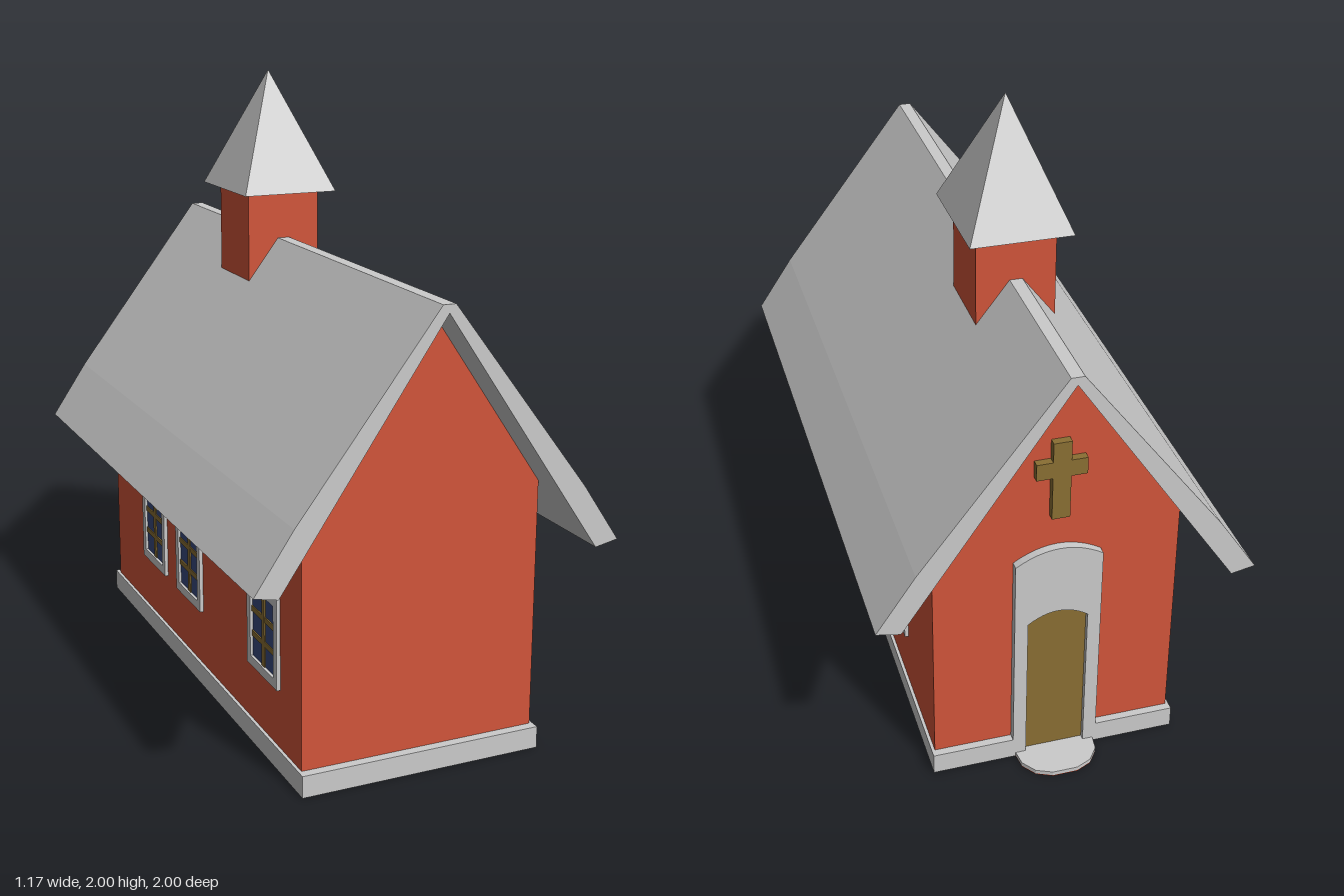
import * as THREE from 'three';

const paint = (color) => new THREE.MeshStandardMaterial({ color });
const grey = paint(0xcccccc);
const red = paint(0xd2553a);
const brown = paint(0x8a6f33);
const blue = paint(0x3a4b80);

const toShape = (pts) => new THREE.Shape(pts.map(([x, y]) => new THREE.Vector2(x, y)));
const mirrored = (half) => [...half, ...half.map(([x, y]) => [-x, y]).reverse()];

function add(parent, name, geometry, material) {
  const mesh = new THREE.Mesh(geometry, material);
  mesh.name = name;
  parent.add(mesh);
  return mesh;
}

// Upright slab between two z positions
function slab(shape, z0, z1) {
  const g = new THREE.ExtrudeGeometry(shape, { depth: z1 - z0, bevelEnabled: false });
  return g.translate(0, 0, z0);
}

// Flat-lying slab between two heights; the shape's y points to the back
function flatSlab(shape, y0, y1) {
  return slab(shape, y0, y1).rotateX(-Math.PI / 2);
}

function box(w, h, d, x, y, z) {
  return new THREE.BoxGeometry(w, h, d).translate(x, y, z);
}

// Outline of an opening with a shallow curved head
function archPoints(halfWidth, bottom, side, top, steps = 12) {
  const pts = [[-halfWidth, bottom]];
  for (let i = 0; i <= steps; i++) {
    const t = (i / steps) * 2 - 1;
    pts.push([t * halfWidth, side + (top - side) * (1 - t * t)]);
  }
  pts.push([halfWidth, bottom]);
  return pts;
}

// Window in its own xy plane, facing +z, wall surface at z = 0
function createWindow() {
  const win = new THREE.Group();
  win.name = 'window';
  const w = 0.235, h = 0.29, gw = 0.18, gh = 0.23;
  const rect = (a, b) => [[-a / 2, -b / 2], [a / 2, -b / 2], [a / 2, b / 2], [-a / 2, b / 2]];
  const frame = toShape(rect(w, h));
  frame.holes.push(toShape(rect(gw, gh)));
  add(win, 'windowFrame', slab(frame, -0.005, 0.012), grey);
  add(win, 'windowGlass', box(gw, gh, 0.008, 0, 0, -0.001), blue);
  add(win, 'verticalBar', box(0.022, gh, 0.012, 0, 0, 0.001), brown);
  for (const y of [-0.04, 0.04]) {
    add(win, 'horizontalBar', box(gw, 0.018, 0.011, 0, y, 0.001), brown);
  }
  return win;
}

export function createModel() {
  const church = new THREE.Group();
  church.name = 'church';

  // Foundation, notched where the door reaches the ground
  add(church, 'foundation', flatSlab(toShape(mirrored([
    [0.395, -0.9], [0.395, 0.885], [0.095, 0.885], [0.095, 0.855],
  ])), 0, 0.07), grey);

  // Walls with gables
  add(church, 'walls', slab(toShape([
    [-0.385, 0.06], [0.385, 0.06], [0.385, 0.86], [0, 1.435], [-0.385, 0.86],
  ]), -0.86, 0.87), red);

  // Roof with flared eaves
  add(church, 'roof', slab(toShape([
    [0, 1.43], [0.385, 0.86], [0.51, 0.675], [0.585, 0.69], [0.463, 0.872], [0.02, 1.455],
    [-0.02, 1.455], [-0.463, 0.872], [-0.585, 0.69], [-0.51, 0.675], [-0.385, 0.86],
  ]), -0.99, 1), grey);

  // Bell tower and spire
  add(church, 'tower', box(0.25, 0.32, 0.255, 0, 1.45, -0.285), red);
  const spire = new THREE.ConeGeometry(Math.SQRT1_2, 0.39, 4, 1).toNonIndexed();
  spire.rotateY(Math.PI / 4).scale(0.322, 1, 0.385).translate(0, 1.805, -0.285);
  spire.computeVertexNormals();
  add(church, 'spire', spire, grey);

  // Windows on both sides
  for (const side of [-1, 1]) {
    for (const z of [0.596, -0.058, -0.412]) {
      const win = createWindow();
      win.position.set(side * 0.385, 0.404, z);
      win.rotation.y = (side * Math.PI) / 2;
      church.add(win);
    }
  }

  // Door and its surround
  const opening = archPoints(0.095, 0.005, 0.53, 0.565);
  const surround = [...archPoints(0.137, 0.005, 0.755, 0.8), ...opening.slice().reverse()];
  add(church, 'doorSurround', slab(toShape(surround), -0.887, -0.855), grey);
  add(church, 'door', slab(toShape(opening), -0.87, -0.85), brown);

  // Door step on a thin red footing
  const step = toShape(mirrored([[0.13, 0.87], [0.122, 0.935], [0.09, 0.978], [0.04, 1]]));
  add(church, 'stepFooting', flatSlab(step, 0, 0.003), red);
  add(church, 'step', flatSlab(step, 0.003, 0.016), grey);

  // Cross on the gable
  add(church, 'cross', slab(toShape(mirrored([
    [0.028, 0.91], [0.028, 1.055], [0.078, 1.055], [0.078, 1.11], [0.028, 1.11], [0.028, 1.175],
  ])), -0.885, -0.855), brown);

  return church;
}
